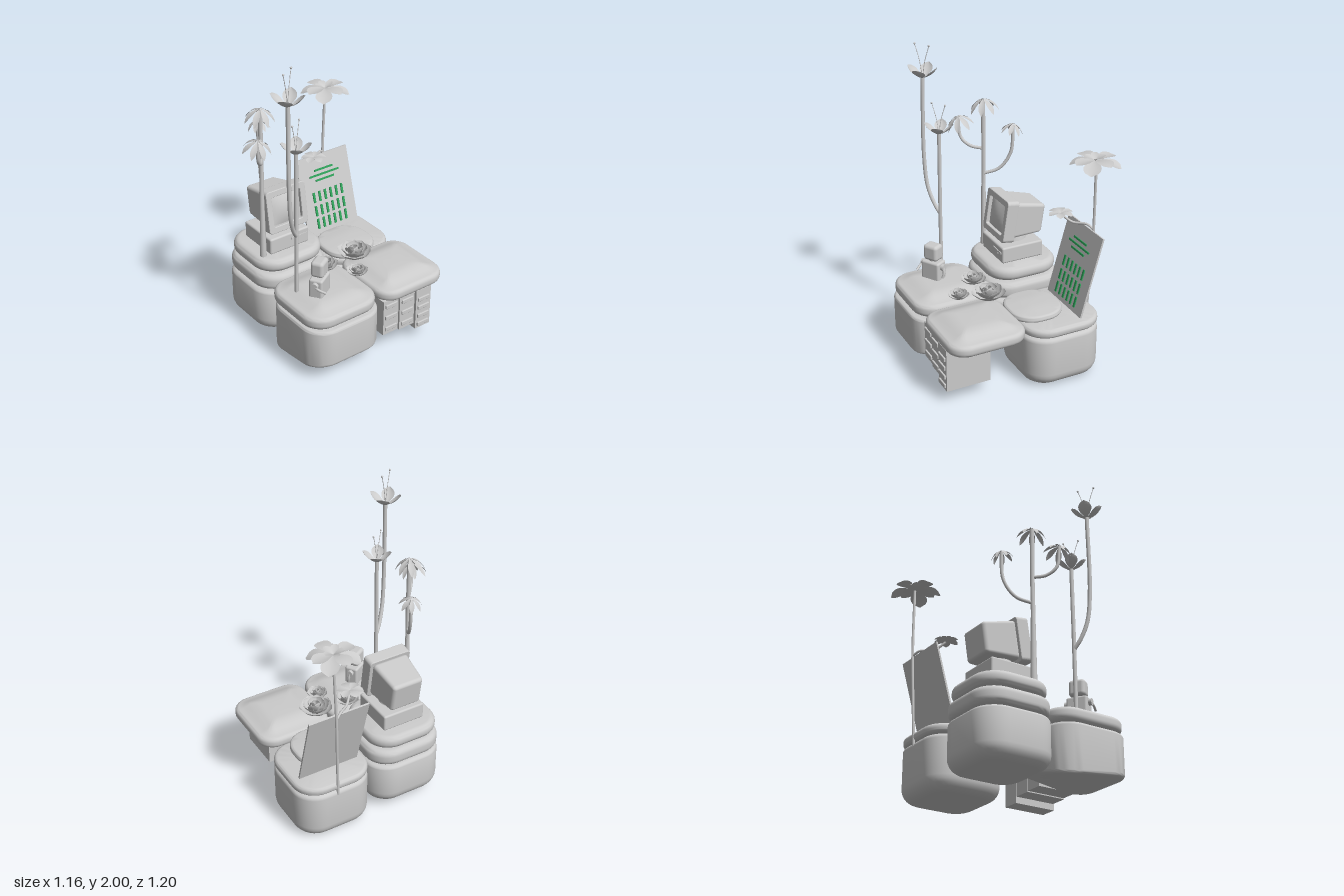
import * as THREE from 'three';
import { toCreasedNormals } from 'three/addons/utils/BufferGeometryUtils.js';
import { RoundedBoxGeometry } from 'three/addons/geometries/RoundedBoxGeometry.js';

const grey = new THREE.MeshStandardMaterial({ color: 0xcccccc });
const thin = new THREE.MeshStandardMaterial({ color: 0xcccccc, side: THREE.DoubleSide });
const green = new THREE.MeshStandardMaterial({ color: 0x2fa35a });

function add(parent, name, geo, x = 0, y = 0, z = 0, mat = grey) {
  const m = new THREE.Mesh(geo, mat);
  m.name = name;
  m.position.set(x, y, z);
  parent.add(m);
  return m;
}

function group(parent, name, x = 0, y = 0, z = 0) {
  const g = new THREE.Group();
  g.name = name;
  g.position.set(x, y, z);
  parent.add(g);
  return g;
}

function roundRect(w, h, r) {
  const s = new THREE.Shape(), a = w / 2, b = h / 2, q = Math.PI / 2;
  s.absarc(a - r, b - r, r, 0, q);
  s.absarc(r - a, b - r, r, q, 2 * q);
  s.absarc(r - a, r - b, r, 2 * q, 3 * q);
  s.absarc(a - r, r - b, r, 3 * q, 4 * q);
  s.closePath();
  return s;
}

// Rounded-square block: rings stacked with their own bottom edge, top edge and a soft crown; tilt(x, z) shifts the underside
function block(parent, name, [x0, x1], [y0, y1], [z0, z1], { corner = 0.16, bottom = 0.03, top = 0.03, crown = 0, tilt }) {
  const profile = [], n = 6, C = 8, pos = [], idx = [];
  const arc = t => t / n * Math.PI / 2;
  for (let t = 0; t <= n; t++) profile.push([bottom * (1 - Math.sin(arc(t))), y0 + bottom * (1 - Math.cos(arc(t)))]);
  for (let t = 0; t <= n; t++) profile.push([top * (1 - Math.cos(arc(t))), y1 - top * (1 - Math.sin(arc(t)))]);
  if (crown) for (let t = 1; t <= n; t++) profile.push([top + 0.01 + 0.13 * t / n, y1 + crown * Math.sin(arc(t))]);
  const last = profile[profile.length - 1];
  const rings = [[0, y0, 0], ...profile.map(p => [...p, 1]), [0, last[1], 0]];
  const cx = (x0 + x1) / 2, cz = (z0 + z1) / 2, size = 4 * (C + 1);
  rings.forEach(([inset, y, scale], j) => {
    const r = Math.max(corner - inset, 0.02), a = (x1 - x0) / 2 - inset - r, b = (z1 - z0) / 2 - inset - r;
    for (let k = 0; k < size; k++) {
      const q = Math.floor(k / (C + 1)), ang = (q + (k % (C + 1)) / C) * Math.PI / 2;
      const x = cx + scale * ((q === 0 || q === 3 ? a : -a) + r * Math.cos(ang));
      const z = cz - scale * ((q < 2 ? b : -b) + r * Math.sin(ang));
      pos.push(x, y + (tilt && j <= n + 1 ? tilt(x, z) : 0), z);
      if (j < rings.length - 1) {
        const o = j * size, m = (k + 1) % size;
        idx.push(o + k, o + m, o + size + k, o + m, o + size + m, o + size + k);
      }
    }
  });
  const g = new THREE.BufferGeometry();
  g.setAttribute('position', new THREE.Float32BufferAttribute(pos, 3));
  g.setIndex(idx);
  return add(parent, name, toCreasedNormals(g, 0.7));
}

function tube(parent, name, pts, r) {
  const curve = new THREE.CatmullRomCurve3(pts.map(p => new THREE.Vector3(...p)));
  return add(parent, name, new THREE.TubeGeometry(curve, 28, r, 8));
}

// Petal pointing along +z, bending from elevation a0 to a1; a higher peak puts the widest point nearer the tip
function petal({ len, width, a0, a1, cup = 0.15, round = 0.7, peak = 1.2 }) {
  const g = new THREE.PlaneGeometry(2, 1, 4, 8), p = g.attributes.position, da = a1 - a0;
  for (let i = 0; i < p.count; i++) {
    const s = p.getX(i), u = p.getY(i) + 0.5, a = a0 + da * u;
    const half = width / 2 * Math.pow(Math.abs(Math.sin(Math.PI * Math.pow(u, peak))), round);
    const lift = cup * s * s * half;
    p.setXYZ(i, s * half, len * (Math.cos(a0) - Math.cos(a)) / da + lift * Math.cos(a),
      len * (Math.sin(a) - Math.sin(a0)) / da - lift * Math.sin(a));
  }
  g.computeVertexNormals();
  return g;
}

function petals(parent, n, form, turn = 0) {
  const g = petal(form);
  for (let i = 0; i < n; i++) add(parent, 'petal', g, 0, 0, 0, thin).rotation.y = turn + i * 2 * Math.PI / n;
}

function buildBlocks(root) {
  const L = [-0.48, 0.045], R = [0.05, 0.57], B = [-0.458, 0.06];
  // back right
  block(root, 'backRightBody', R, [0.003, 0.35], B, { bottom: 0.09, top: 0.03 });
  block(root, 'backRightSlab', R, [0.355, 0.415], B, { top: 0.025, bottom: 0.025 });
  block(root, 'roundCushion', [0.08, 0.44], [0.408, 0.45], [-0.27, 0.08], { corner: 0.15, bottom: 0.015, top: 0.02, crown: 0.01 });
  // back left stack
  block(root, 'backLeftBody', L, [0.05, 0.36], B, { bottom: 0.09, top: 0.03 });
  block(root, 'backLeftLowerSlab', [-0.475, 0.045], [0.37, 0.48], B, { bottom: 0.04, top: 0.04 });
  block(root, 'backLeftUpperSlab', [-0.465, 0.03], [0.49, 0.58], [-0.445, 0.045], { bottom: 0.04, top: 0.04 });
  // front left, underside low at the back outer corner and high at the back inner one
  const tilt = (x, z) => (0.595 - z) / 0.535 * (0.08 - 0.155 * (0.06 - x) / 0.54);
  block(root, 'frontLeftBody', [-0.48, 0.06], [0.1, 0.365], [0.06, 0.595], { corner: 0.15, bottom: 0.025, top: 0.02, tilt });
  block(root, 'frontLeftSlab', [-0.48, 0.045], [0.372, 0.457], [0.05, 0.58], { corner: 0.14, bottom: 0.035, top: 0.03, crown: 0.033 });
  // front right
  block(root, 'frontRightSlab', [0.05, 0.565], [0.37, 0.45], [0.07, 0.587], { corner: 0.12, bottom: 0.035, top: 0.03, crown: 0.04 });
}

function buildCabinets(root) {
  [[0.122, 0.135, 0.385, 0.56, 3], [0.247, 0.13, 0.38, 0.568, 3], [0.372, 0.09, 0.38, 0.58, 4]].forEach(([x, y0, y1, z, n]) => {
    const g = group(root, 'drawerCabinet', x, y0, z);
    add(g, 'cabinetBody', new THREE.BoxGeometry(0.12, y1 - y0, z - 0.285), 0, (y1 - y0) / 2, (0.285 - z) / 2);
    const step = 0.25 / n;
    for (let i = 0; i < n; i++) {
      const y = step * (i + 0.5);
      add(g, 'drawerFront', new RoundedBoxGeometry(0.092, 0.028, 0.016, 2, 0.004), 0, y, 0.002);
    }
  });
}

function buildComputer(root) {
  const g = group(root, 'computer', -0.217, 0.58, 0);
  add(g, 'computerBase', new RoundedBoxGeometry(0.295, 0.11, 0.295, 3, 0.012), 0, 0.055, -0.2);
  add(g, 'diskSlot', new THREE.BoxGeometry(0.12, 0.012, 0.01), 0.07, 0.07, -0.052);
  add(g, 'slotLatch', new THREE.BoxGeometry(0.035, 0.022, 0.012), 0.07, 0.062, -0.052);
  add(g, 'monitorFoot', new THREE.CylinderGeometry(0.08, 0.09, 0.05, 24), 0, 0.125, -0.2);
  const m = group(g, 'monitor', 0, 0.28, -0.115);
  m.rotation.x = -0.15;
  // bezel with a window
  const frame = roundRect(0.287, 0.277, 0.02);
  frame.holes.push(roundRect(0.222, 0.208, 0.015));
  const bezel = new THREE.ExtrudeGeometry(frame, { depth: 0.07, bevelSize: 0.004, bevelThickness: 0.006, bevelSegments: 2 });
  add(m, 'bezel', bezel, 0, 0, -0.035);
  const glass = new THREE.PlaneGeometry(0.228, 0.215, 10, 10), p = glass.attributes.position;
  for (let i = 0; i < p.count; i++) {
    const u = p.getX(i) / 0.114, v = p.getY(i) / 0.1075;
    p.setZ(i, 0.025 * (1 - u * u) * (1 - v * v));
  }
  glass.computeVertexNormals();
  add(m, 'screen', glass, 0, 0, 0.015);
  // tube housing narrowing to the rear
  const rear = new RoundedBoxGeometry(0.255, 0.25, 0.235, 4, 0.025), q = rear.attributes.position;
  for (let i = 0; i < q.count; i++) {
    const t = 0.5 - q.getZ(i) / 0.235;
    q.setXY(i, q.getX(i) * (1 - 0.16 * t), q.getY(i) * (1 - 0.22 * t) + 0.003 * t);
  }
  add(m, 'monitorHousing', rear, 0, 0, -0.145);
}

function buildBoard(root) {
  const g = group(root, 'board', 0.3125, 0.677, -0.37);
  g.rotation.x = -0.274;
  add(g, 'boardPanel', new THREE.BoxGeometry(0.415, 0.535, 0.012));
  // plain raised bars
  for (const [y, w] of [[0.165, 0.15], [0.13, 0.24], [0.095, 0.15]])
    add(g, 'mark', new THREE.BoxGeometry(w, 0.012, 0.01), -0.005, y, 0.008, green);
  for (const y of [-0.015, -0.11, -0.2])
    for (let i = 0; i < 6; i++)
      add(g, 'mark', new THREE.BoxGeometry(0.016, 0.07, 0.01), -0.115 + i * 0.046, y, 0.008, green);
}

function buildRobot(root) {
  const g = group(root, 'robot', -0.277, 0.46, 0.345);
  g.rotation.y = 0.54;
  add(g, 'robotBody', new RoundedBoxGeometry(0.135, 0.15, 0.09, 3, 0.014), 0, 0.075, 0);
  add(g, 'robotNeck', new THREE.CylinderGeometry(0.025, 0.025, 0.03, 16), 0, 0.155, 0);
  add(g, 'robotHead', new RoundedBoxGeometry(0.105, 0.107, 0.085, 4, 0.022), 0, 0.211, 0);
  for (const s of [-1, 1])
    add(g, 'robotShoulder', new THREE.CylinderGeometry(0.022, 0.022, 0.026, 16), s * 0.075, 0.115, 0).rotation.z = Math.PI / 2;
  tube(g, 'robotRaisedArm', [[-0.08, 0.115, 0], [-0.085, 0.1, 0.03], [-0.08, 0.085, 0.075]], 0.008);
  tube(g, 'robotLoweredArm', [[0.08, 0.115, 0], [0.086, 0.08, 0.005], [0.08, 0.045, 0.012]], 0.009);
}

function buildPlants(root) {
  // broad flowers behind the board
  const broad = group(root, 'broadFlowerPlant');
  tube(broad, 'stem', [[0.33, 0.32, -0.452], [0.34, 0.6, -0.462], [0.35, 0.93, -0.472], [0.365, 1.39, -0.465]], 0.009);
  tube(broad, 'branch', [[0.352, 0.92, -0.472], [0.31, 0.945, -0.45], [0.23, 0.94, -0.39], [0.175, 0.985, -0.335]], 0.008);
  const big = group(broad, 'largeFlower', 0.36, 1.39, -0.46);
  petals(big, 4, { len: 0.17, width: 0.11, a0: 0.1, a1: -0.6, peak: 1.7, round: 0.6 }, 2.45);
  petals(big, 4, { len: 0.15, width: 0.1, a0: 0.3, a1: -0.25, peak: 1.7, round: 0.6 }, 0.15);
  petals(big, 5, { len: 0.075, width: 0.05, a0: 0.7, a1: 0.1, peak: 1.5 }, 0.5);
  const small = group(broad, 'smallFlower', 0.175, 0.99, -0.335);
  petals(small, 6, { len: 0.085, width: 0.055, a0: 0.35, a1: -0.4, peak: 1.6 });

  // branching plant with drooping star flowers
  const star = group(root, 'starFlowerPlant');
  tube(star, 'trunk', [[-0.4, 0.47, -0.08], [-0.405, 0.9, -0.08], [-0.4, 1.2, -0.08], [-0.4, 1.6, -0.08]], 0.014);
  add(star, 'trunkBase', new THREE.CylinderGeometry(0.014, 0.022, 0.5, 12), -0.403, 0.77, -0.08);
  tube(star, 'branch', [[-0.4, 1.09, -0.08], [-0.35, 1.13, -0.17], [-0.315, 1.24, -0.235], [-0.31, 1.43, -0.248]], 0.011);
  tube(star, 'branch', [[-0.4, 1.265, -0.08], [-0.45, 1.28, -0.01], [-0.495, 1.33, 0.035], [-0.505, 1.47, 0.05]], 0.011);
  for (const [x, y, z, s, tilt] of [[-0.4, 1.605, -0.08, 1.1, 0.1], [-0.308, 1.44, -0.25, 0.85, -0.2], [-0.505, 1.475, 0.05, 1.05, 0.25]]) {
    const f = group(star, 'starFlower', x, y, z);
    f.rotation.x = tilt;
    petals(f, 7, { len: 0.12 * s, width: 0.036 * s, a0: -0.35, a1: -1.15, round: 0.9 });
  }

  // cupped lilies at the front left
  const lily = group(root, 'lilyPlant');
  tube(lily, 'shortStem', [[-0.378, 0.44, 0.245], [-0.375, 0.9, 0.245], [-0.37, 1.44, 0.243]], 0.013);
  tube(lily, 'tallStem', [[-0.378, 0.88, 0.245], [-0.41, 0.93, 0.265], [-0.45, 1.05, 0.295], [-0.467, 1.25, 0.308], [-0.465, 1.79, 0.305]], 0.013);
  for (const [x, y, z, s, turn] of [[-0.465, 1.78, 0.303, 1, 0.75], [-0.37, 1.43, 0.243, 0.93, 0.95]]) {
    const f = group(lily, 'lily', x, y, z);
    f.scale.setScalar(s);
    petals(f, 4, { len: 0.13, width: 0.085, a0: 0.25, a1: 1.05, cup: 0.3, peak: 1.35 }, turn);
    for (const k of [-1, 1]) {
      tube(f, 'stamen', [[0, 0, 0], [k * 0.018, 0.11, k * -0.01], [k * 0.046, 0.213, k * -0.028]], 0.0022);
      add(f, 'stamenTip', new THREE.SphereGeometry(0.007, 10, 8), k * 0.046, 0.213, k * -0.028);
    }
  }

  // succulent rosettes
  const layers = [[5, 0.95, 0.1, 0.9], [5, 0.88, 0.35, 1.15], [5, 0.78, 0.7, 1.4], [4, 0.65, 1, 1.7]];
  for (const [x, y, z, r] of [[-0.09, 0.48, 0.15, 0.092], [0.14, 0.482, 0.155, 0.122], [0.04, 0.475, 0.315, 0.076]]) {
    const f = group(root, 'succulent', x, y, z);
    layers.forEach(([n, k, a0, a1], i) =>
      petals(f, n, { len: r * k * 1.15, width: r * k * 1.1, a0, a1, cup: 0.25, round: 0.45, peak: 1.4 }, i * 0.65));
  }
}

export function createModel() {
  const root = new THREE.Group();
  root.name = 'deskGarden';
  buildBlocks(root);
  buildCabinets(root);
  buildComputer(root);
  buildBoard(root);
  buildRobot(root);
  buildPlants(root);
  return root;
}
